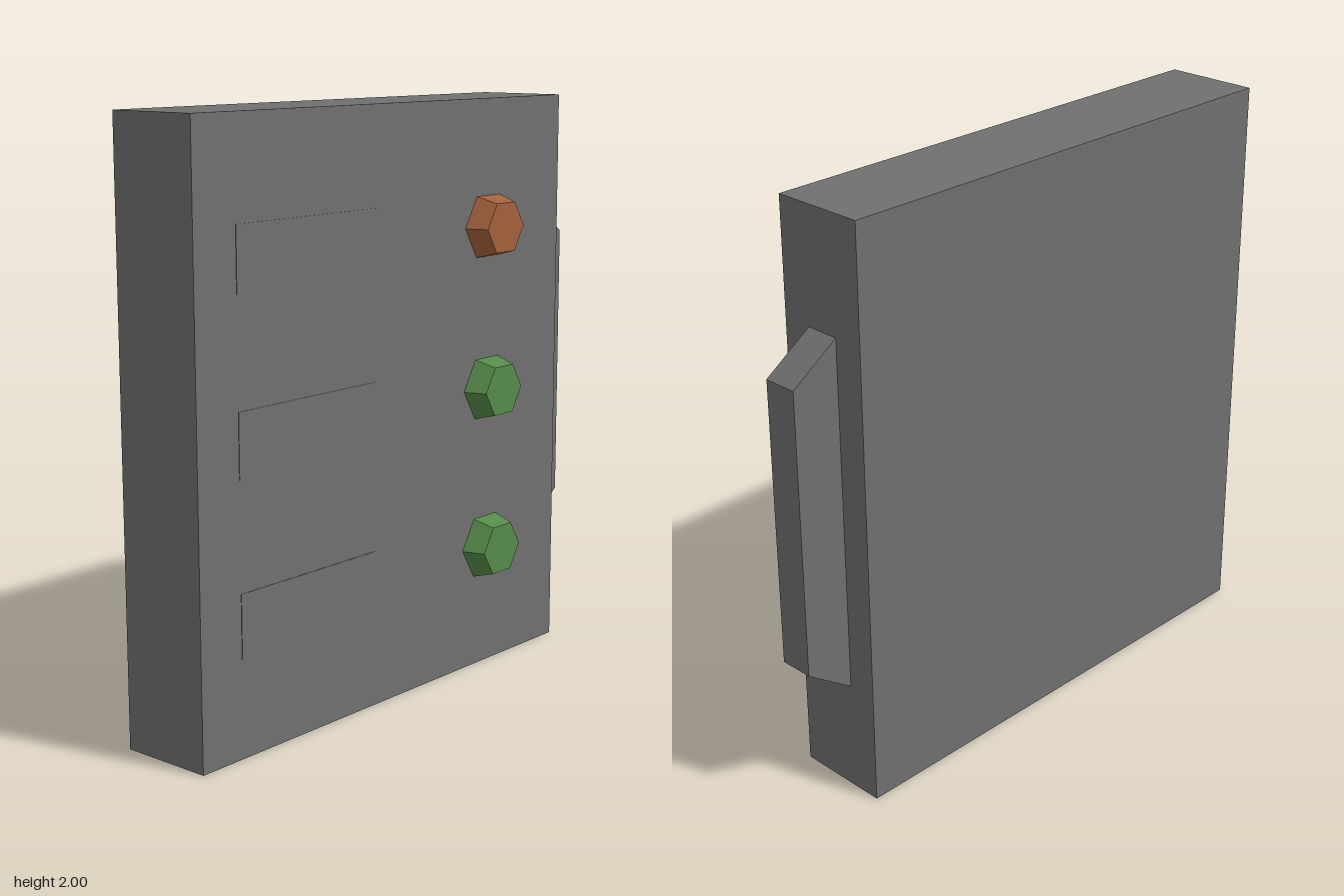
import * as THREE from 'three';

const material = (name, color) => {
  const m = new THREE.MeshStandardMaterial({ color, flatShading: true });
  m.name = name;
  return m;
};

export function createModel() {
  const grey = material('panel grey', 0x707070);
  const green = material('button green', 0x558b49);
  const orange = material('button orange brown', 0xa3613c);

  const group = new THREE.Group();
  group.name = 'controlPanel';
  const add = (name, geometry, mat, x, y, z) => {
    const mesh = new THREE.Mesh(geometry, mat);
    mesh.name = name;
    mesh.position.set(x, y, z);
    group.add(mesh);
    return mesh;
  };

  // Upright slab; its button face looks towards +x
  const faceX = 0.125;
  add('body', new THREE.BoxGeometry(0.33, 2, 1.81), grey, -0.04, 1, 0.085);

  // Tapered connector ridge on the back edge
  const profile = new THREE.Shape([
    new THREE.Vector2(0.82, 0.39),
    new THREE.Vector2(0.99, 0.51),
    new THREE.Vector2(0.99, 1.495),
    new THREE.Vector2(0.82, 1.61),
  ]);
  const ridge = new THREE.ExtrudeGeometry(profile, { depth: 0.12, bevelEnabled: false });
  ridge.rotateY(Math.PI / 2);
  add('connectorRidge', ridge, grey, -0.1, 0, 0);

  // Three rows, each a flush label plate and a tapered hexagonal button
  const plate = new THREE.BoxGeometry(0.004, 0.21, 0.635);
  const button = new THREE.CylinderGeometry(0.101, 0.126, 0.077, 6);
  button.rotateZ(-Math.PI / 2);
  button.scale(1, 0.96, 1);
  [['lower', 0.43, green], ['middle', 1, green], ['upper', 1.565, orange]].forEach(([row, y, mat]) => {
    add(row + 'Label', plate, grey, faceX, y, 0.498);
    add(row + 'Button', button, mat, faceX + 0.0385, y, -0.412);
  });

  return group;
}
